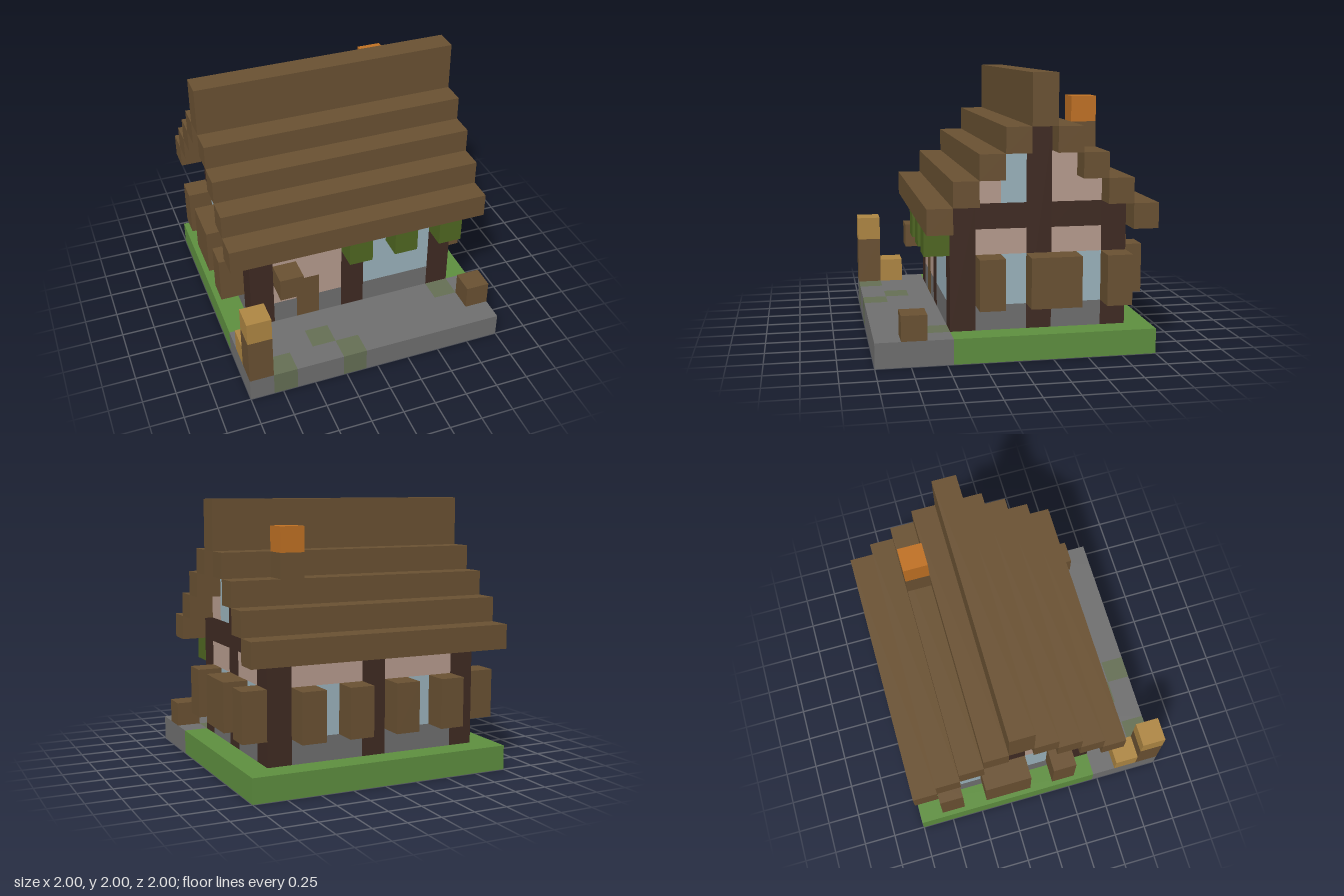
import * as THREE from 'three';

const U = 2 / 11; // size of one block; the model fits an 11 x 11 x 11 block grid

const mat = (name, color) => {
  const m = new THREE.MeshStandardMaterial({ color });
  m.name = name;
  return m;
};

export function createModel() {
  const house = new THREE.Group();
  house.name = 'cottage';

  const wood = mat('brown wood', 0x6b5233);
  const timber = mat('dark timber', 0x402b23);
  const stone = mat('grey stone', 0x707070);
  const plaster = mat('pink plaster', 0xb89d8f);
  const glass = mat('pale blue glass', 0x9cb4be);
  const leaf = mat('dark leaf green', 0x506822);
  const grass = mat('grass green', 0x5f9040);
  const ember = mat('orange ember', 0xc17224);
  const straw = mat('yellow straw', 0xb08844);
  const moss = mat('mossy stone', 0x667055);

  // Box covering whole blocks from corner [x, y, z] over [w, h, d] blocks
  const block = (parent, name, material, [x, y, z], [w, h, d] = [1, 1, 1]) => {
    const mesh = new THREE.Mesh(new THREE.BoxGeometry(w * U, h * U, d * U), material);
    mesh.position.set((x + w / 2) * U - 1, (y + h / 2) * U, (z + d / 2) * U - 1);
    mesh.name = name;
    parent.add(mesh);
  };
  const group = (name) => {
    const g = new THREE.Group();
    g.name = name;
    house.add(g);
    return g;
  };

  const legend = {
    D: ['timberBeam', timber], P: ['plasterPanel', plaster], G: ['windowPane', glass],
    S: ['stoneBlock', stone], B: ['door', wood], L: ['lawn', grass],
    M: ['mossPatch', moss], F: ['floor', wood],
  };

  // Lay out a drawn panel; equal blocks in a column become one box.
  // place(column, firstRow, count) returns [corner, size].
  const panel = (name, rows, place) => {
    const g = group(name);
    for (let c = 0; c < rows[0].length; c++) {
      for (let r = 0; r < rows.length;) {
        const key = rows[r][c];
        let n = 1;
        while (r + n < rows.length && rows[r + n][c] === key) n++;
        if (legend[key]) block(g, ...legend[key], ...place(c, r, n));
        r += n;
      }
    }
  };

  // Ground slab, rows running from back to front
  const yard = 'LSFFFFFFFSL';
  panel('ground', [
    'LLLLLLLLLLL',
    'LSSSSSSSSSL',
    yard, yard, yard, yard, yard,
    'LSSSSSSSSSL',
    'SSSSSSSSSMS',
    'SSSMSSSSSSS',
    'SMSSMSSSSSS',
  ], (c, r, n) => [[c, 0, r], [1, 1, n]]);

  // Gable walls, columns running from back to front
  const gable = [
    '...D...',
    '..PDG..',
    '.PPDGP.',
    'DDDDDDD',
    'DPPDPPD',
    'DGPDGPD',
    'DGPDGPD',
    'DSSDSSD',
  ];
  for (const [name, x] of [['rightGable', 1], ['leftGable', 9]]) {
    panel(name, gable, (c, r, n) => [[x, 9 - r - n, c + 1], [1, n, 1]]);
  }

  // Front and back walls between the gables
  panel('frontWall', [
    'DDDDDDD',
    'PPPDGGG',
    'PPPDGGG',
    'PBPDGGG',
    'SBSDSSS',
  ], (c, r, n) => [[c + 2, 6 - r - n, 7], [1, n, 1]]);
  panel('backWall', [
    'DDDDDDD',
    'PPPDPPP',
    'PGPDPGP',
    'PGPDPGP',
    'SSSDSSS',
  ], (c, r, n) => [[c + 2, 6 - r - n, 1], [1, n, 1]]);

  // Stepped roof with a tall ridge
  const roof = group('roof');
  for (let s = 0; s < 4; s++) {
    block(roof, 'frontRoofStep', wood, [0, 5 + s, 8 - s], [11, 1, 1]);
    block(roof, 'backRoofStep', wood, [0, 5 + s, s], [11, 1, 1]);
  }
  block(roof, 'ridge', wood, [0, 9, 4], [11, 2, 1]);

  // Chimney
  const chimney = group('chimney');
  block(chimney, 'chimneyStack', wood, [8, 8, 2]);
  block(chimney, 'chimneyFire', ember, [8, 9, 2]);

  // Shutters beside the side and back windows
  const shutters = group('shutters');
  for (const x of [0, 10]) {
    for (const [z, d] of [[1, 1], [3, 2], [6, 1]]) {
      block(shutters, 'sideShutter', wood, [x, 2, z], [1, 2, d]);
    }
  }
  for (const x of [2, 4, 6, 8]) block(shutters, 'backShutter', wood, [x, 2, 0], [1, 2, 1]);

  // Hanging leaves and sign on the front
  const trim = group('frontTrim');
  for (const x of [5, 7, 9]) block(trim, 'hangingLeaves', leaf, [x, 4, 8]);
  block(trim, 'hangingSign', wood, [2, 3, 8]);

  // Lamp post, straw bale and crate in the yard
  const props = group('yardProps');
  block(props, 'lampPost', wood, [0, 1, 10], [1, 2, 1]);
  block(props, 'lamp', straw, [0, 3, 10]);
  block(props, 'strawBale', straw, [0, 1, 9]);
  block(props, 'crate', wood, [10, 1, 9]);

  return house;
}
